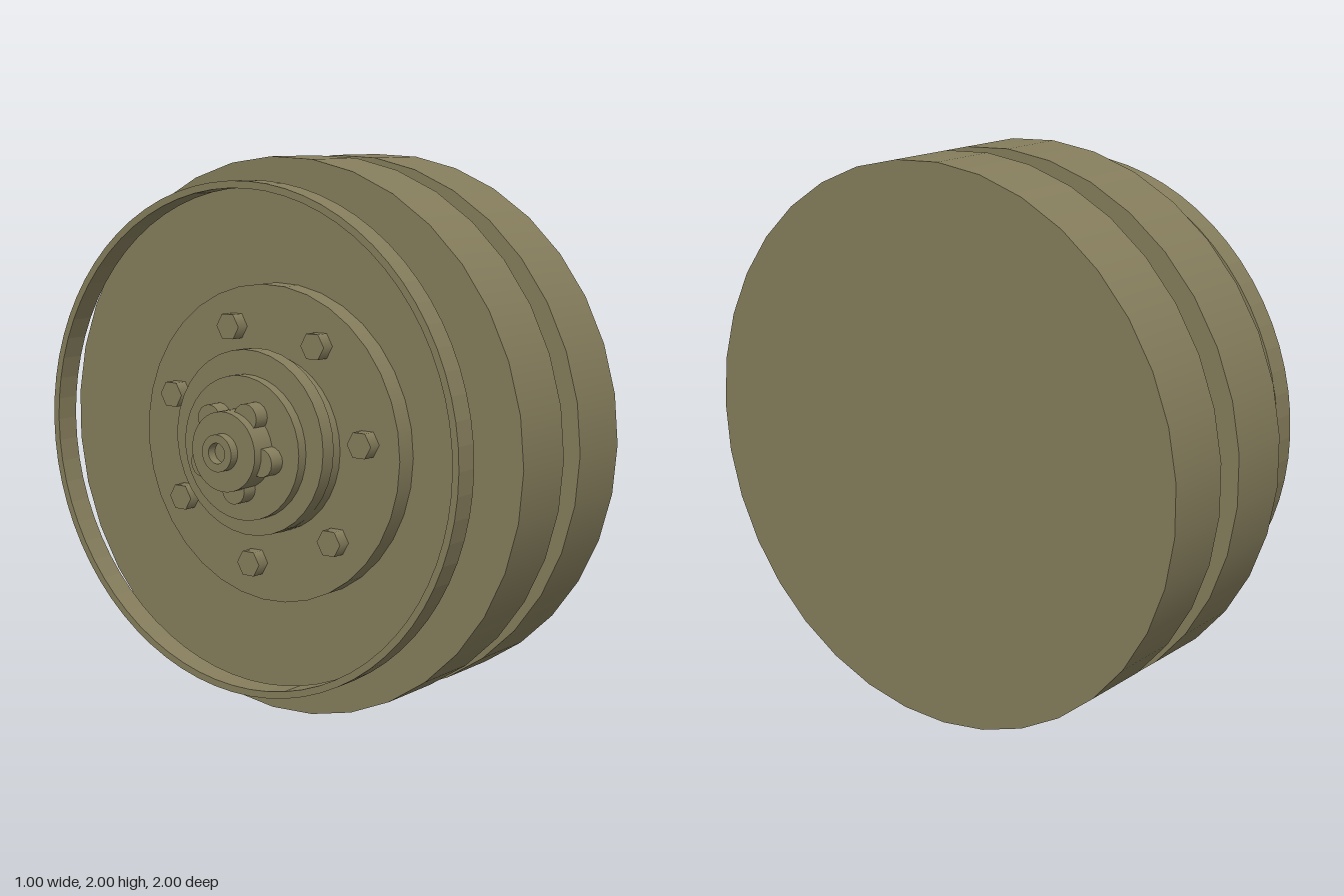
import * as THREE from 'three';

const SEG = 35;

export function createModel() {
  const model = new THREE.Group();
  const mat = new THREE.MeshStandardMaterial({ color: 0x857d5c });

  const add = (name, geo, y = 1, z = 0, parent = model) => {
    const mesh = new THREE.Mesh(geo, mat);
    mesh.name = name;
    mesh.position.set(0, y, z);
    parent.add(mesh);
    return mesh;
  };

  // Solid disc along x, from x0 to x1
  const disc = (r, x0, x1, seg = SEG) =>
    new THREE.CylinderGeometry(r, r, x1 - x0, seg)
      .rotateZ(Math.PI / 2)
      .translate((x0 + x1) / 2, 0, 0);

  // Flat-sided ring along x, from x0 to x1
  const ring = (rOut, rIn, x0, x1, seg) => {
    const shape = new THREE.Shape().absarc(0, 0, rOut, 0, Math.PI * 2);
    shape.holes.push(new THREE.Path().absarc(0, 0, rIn, 0, Math.PI * 2, true));
    return new THREE.ExtrudeGeometry(shape, {
      depth: x1 - x0, bevelEnabled: false, curveSegments: seg,
    }).rotateY(Math.PI / 2).translate(x0, 0, 0);
  };

  // Parts repeated around the axle
  const around = (name, count, radius, startDeg, makeGeo, yc) => {
    const group = new THREE.Group();
    group.name = name + 's';
    for (let i = 0; i < count; i++) {
      const a = THREE.MathUtils.degToRad(startDeg) + (i * Math.PI * 2) / count;
      add(name, makeGeo(), yc + radius * Math.sin(a), radius * Math.cos(a), group);
    }
    model.add(group);
  };

  // Twin wheels and the spacer between them
  add('outerWheel', disc(1, 0.23, 0.495));
  add('innerWheel', disc(1, -0.14, 0.12));
  add('wheelSpacer', disc(0.372, 0.12, 0.23), 1.003);

  // Thin rim ring standing clear of the wheel
  add('rimRing', ring(0.904, 0.879, -0.37, -0.28, SEG), 1.017, -0.005);

  // Stepped hub
  add('hubPlate', disc(0.567, -0.22, -0.14), 0.993);
  add('hubBase', disc(0.318, -0.27, -0.22));
  add('hubFlange', disc(0.328, -0.33, -0.27), 1.013);
  add('hubStep', disc(0.255, -0.37, -0.33));
  add('hubCore', disc(0.14, -0.43, -0.37));
  add('hubCap', disc(0.14, -0.465, -0.43));
  add('axleEnd', ring(0.065, 0.036, -0.5, -0.465, 20));

  // Hexagonal bolts on the plate and lobes around the hub core
  around('plateBolt', 7, 0.435, 6, () => disc(0.05, -0.27, -0.22, 6).toNonIndexed(), 0.995);
  around('hubLobe', 5, 0.138, 60, () => disc(0.05, -0.43, -0.37, 16), 1);

  return model;
}
